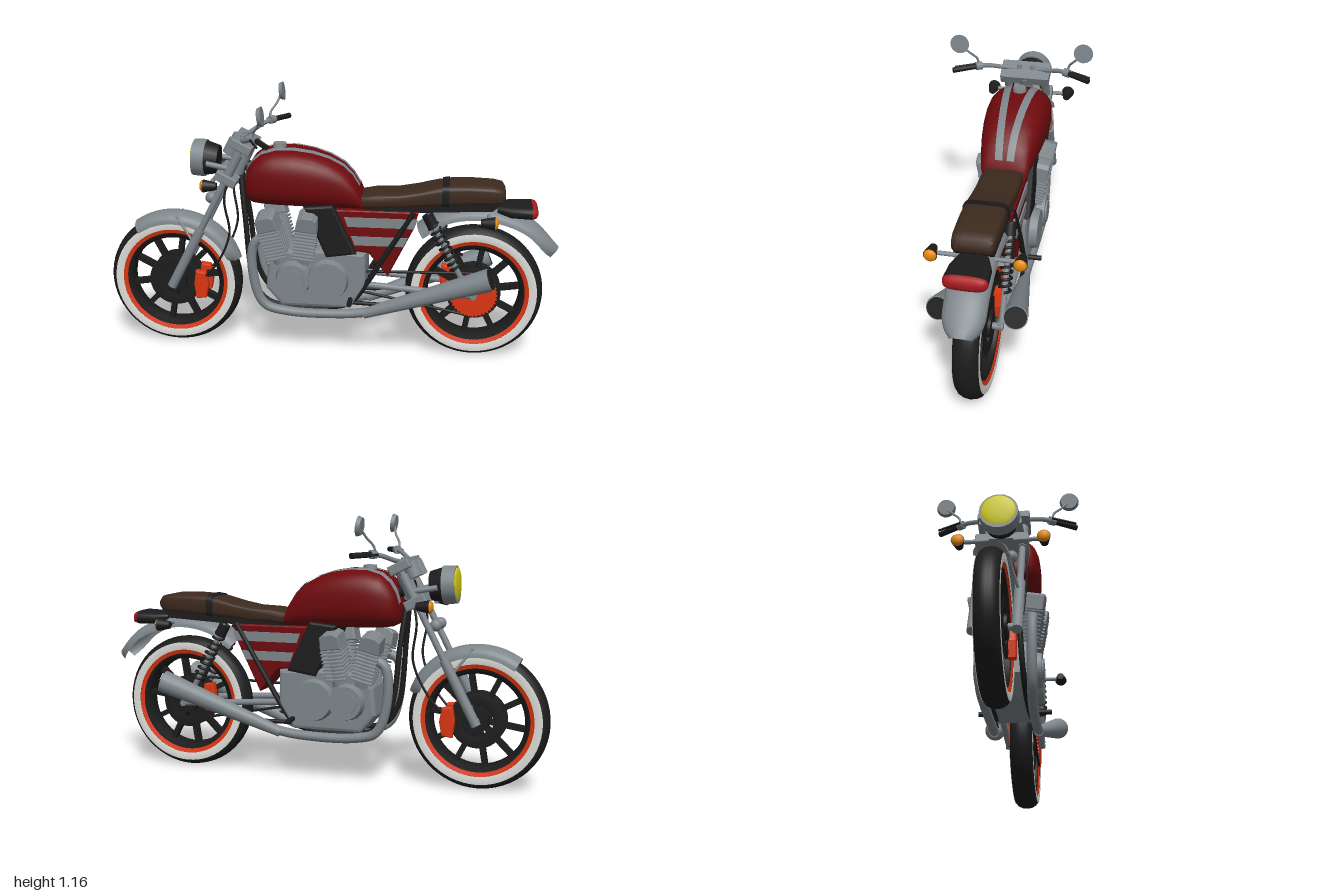
import * as THREE from 'three';
import { toCreasedNormals } from 'three/addons/utils/BufferGeometryUtils.js';

const mat = (name, color) => {
  const m = new THREE.MeshStandardMaterial({ color, side: THREE.DoubleSide });
  m.name = name;
  return m;
};
const V = (a) => new THREE.Vector3(...a);

export function createModel() {
  const RED = mat('dark red paint', 0x6e0a0d), METAL = mat('grey metal', 0x7e868b), BLACK = mat('black', 0x1c1c1c),
    BROWN = mat('brown leather', 0x3d2a1e), ORANGE = mat('orange red', 0xdb3510), WHITE = mat('white', 0xdcdcd8),
    YELLOW = mat('yellow lens', 0xd2cc14), AMBER = mat('amber lens', 0xe68a0c), LAMP = mat('red lens', 0xa81a1e);
  const root = new THREE.Group();
  root.name = 'motorcycle';

  // Helpers
  const add = (name, geo, m, pos = [0, 0, 0], parent = root) => {
    const o = new THREE.Mesh(geo, m);
    o.name = name;
    o.position.set(...pos);
    parent.add(o);
    return o;
  };
  const both = (f) => [1, -1].forEach(f);
  const rod = (name, a, b, r1, m, r2 = r1, parent = root) => {
    const p = V(a), q = V(b), d = q.clone().sub(p);
    const o = add(name, new THREE.CylinderGeometry(r2, r1, d.length(), 20), m, p.clone().add(q).multiplyScalar(0.5).toArray(), parent);
    o.quaternion.setFromUnitVectors(new THREE.Vector3(0, 1, 0), d.normalize());
    return o;
  };
  const tube = (name, pts, r, m, n = 40) =>
    add(name, new THREE.TubeGeometry(new THREE.CatmullRomCurve3(pts.map(V)), n, r, 10), m);
  const grid = (nu, nv, f) => {
    const p = [], idx = [];
    for (let i = 0; i <= nu; i++) for (let j = 0; j <= nv; j++) p.push(...f(i, j));
    for (let i = 0; i < nu; i++) for (let j = 0; j < nv; j++) {
      const a = i * (nv + 1) + j, b = a + nv + 1;
      idx.push(a, b, a + 1, b, b + 1, a + 1);
    }
    const g = new THREE.BufferGeometry();
    g.setAttribute('position', new THREE.Float32BufferAttribute(p, 3));
    g.setIndex(idx);
    return toCreasedNormals(g, 0.8);
  };
  // Rounded body through stations [x, bottom, top, half width]
  const loft = (st, e, n = 40) => {
    const a = st[0], z = st[st.length - 1];
    const close = (s) => [s[0], (s[1] + s[2]) / 2, (s[1] + s[2]) / 2, 0];
    const all = [close(a), ...st, close(z)];
    return grid(all.length - 1, n, (i, j) => {
      const [x, b, t, w] = all[i], q = (j / n) * Math.PI * 2, c = -Math.cos(q), s = Math.sin(q);
      return [x, (b + t) / 2 + ((t - b) / 2) * Math.sign(c) * Math.abs(c) ** (2 / e), w * Math.sign(s) * Math.abs(s) ** (2 / e)];
    });
  };
  const extrude = (pts, depth, bevel = 0) => {
    const g = new THREE.ExtrudeGeometry(new THREE.Shape(pts.map((p) => new THREE.Vector2(...p))),
      { depth: depth - 2 * bevel, bevelEnabled: bevel > 0, bevelSize: bevel, bevelThickness: bevel, bevelSegments: 2 });
    return g.translate(0, 0, -depth / 2 + bevel);
  };
  const lathe = (pts) => new THREE.LatheGeometry(pts.map((p) => new THREE.Vector2(...p)), 64).rotateX(Math.PI / 2);
  const disc = (r, h, n = 32) => new THREE.CylinderGeometry(r, r, h, n).rotateX(Math.PI / 2);

  // Wheels
  const wheel = (name, x, w) => {
    const g = new THREE.Group();
    g.name = name;
    g.position.set(x, 0.303, 0);
    root.add(g);
    const half = [[0.225, 0.8], [0.24, 0.93], [0.258, 1], [0.274, 0.96], [0.288, 0.75], [0.297, 0.4], [0.3, 0]];
    const side = half.map(([r, z]) => [r, z * w]);
    add('tyre', lathe([...side, ...side.slice(0, -1).reverse().map(([r, z]) => [r, -z])]), BLACK, [0, 0, 0], g);
    add('rimBarrel', lathe([[0.228, -0.8 * w], [0.2, -0.7 * w], [0.2, 0.7 * w], [0.228, 0.8 * w]]), BLACK, [0, 0, 0], g);
    both((s) => {
      add('whitewall', lathe([[0.24, s * (0.93 * w + 0.002)], [0.258, s * (w + 0.002)], [0.274, s * (0.96 * w + 0.002)]]), WHITE, [0, 0, 0], g);
      add('rimRing', lathe([[0.222, s * 0.83 * w], [0.24, s * (0.93 * w + 0.001)]]), ORANGE, [0, 0, 0], g);
      add('brakeDisc', lathe([[0.07, s * 0.036], [0.118, s * 0.036], [0.118, s * 0.041], [0.07, s * 0.041], [0.07, s * 0.036]]), BLACK, [0, 0, 0], g);
    });
    for (let i = 0; i < 10; i++) {
      const a = (i / 10) * Math.PI * 2 + 0.15;
      add('spoke', new THREE.BoxGeometry(0.17, 0.022, 0.035), BLACK, [Math.cos(a) * 0.12, Math.sin(a) * 0.12, 0], g).rotation.z = a;
    }
    add('hub', disc(0.05, 0.1), BLACK, [0, 0, 0], g);
    add('axle', disc(0.014, 0.19), METAL, [0, 0, 0], g);
    return g;
  };
  const front = wheel('frontWheel', -0.7, 0.048), rear = wheel('rearWheel', 0.635, 0.053);
  const caliper = [[-0.02, -0.06], [0.015, -0.055], [0.025, 0], [0.015, 0.055], [-0.02, 0.06], [-0.028, 0]];
  both((s) => add('frontCaliper', extrude(caliper, 0.035, 0.006), ORANGE, [0.125, -0.01, s * 0.052], front));
  add('rearCaliper', extrude(caliper, 0.035, 0.006), ORANGE, [-0.115, 0.03, -0.052], rear);

  // Sprocket with teeth, and chain
  const teeth = [];
  for (let i = 0; i < 72; i++) {
    const a = (i / 72) * Math.PI * 2, r = i % 2 ? 0.094 : 0.104;
    teeth.push([Math.cos(a) * r, Math.sin(a) * r]);
  }
  add('sprocket', extrude(teeth, 0.012), ORANGE, [0, 0, 0.064], rear);
  both((s) => rod('chain', [0.08, 0.35 + s * 0.04, 0.064], [0.63, 0.303 + s * 0.1, 0.064], 0.006, BLACK));

  // Mudguards swept along a path
  const guard = (name, pts, hw, drop) => {
    const c = new THREE.CatmullRomCurve3(pts.map(([x, y]) => new THREE.Vector3(x, y, 0)));
    add(name, grid(32, 16, (i, j) => {
      const u = i / 32, p = c.getPoint(u), t = c.getTangent(u), q = (j / 16 - 0.5) * Math.PI;
      const taper = u > 0.88 ? Math.sqrt(1 - ((u - 0.88) / 0.14) ** 2) : 1;
      const d = drop * (1 - Math.cos(q) ** 0.8);
      return [p.x + t.y * d, p.y - t.x * d, Math.sin(q) * hw * taper];
    }), METAL);
  };
  const arc = [];
  for (let a = 124; a >= 20; a -= 13) arc.push([-0.7 + 0.318 * Math.cos(a * Math.PI / 180), 0.305 + 0.318 * Math.sin(a * Math.PI / 180)]);
  guard('frontMudguard', arc, 0.064, 0.05);
  guard('rearMudguard', [[0.38, 0.6], [0.48, 0.67], [0.62, 0.7], [0.75, 0.685], [0.88, 0.63], [0.99, 0.52]], 0.085, 0.05);

  // Fork, one leg each side
  both((s) => {
    const z = s * 0.083;
    rod('forkLower', [-0.705, 0.29, z], [-0.565, 0.56, z], 0.021, METAL);
    rod('forkUpper', [-0.575, 0.54, z], [-0.365, 0.95, z], 0.014, METAL);
    rod('forkShroud', [-0.455, 0.775, z], [-0.385, 0.91, z], 0.02, METAL);
    rod('mudguardStay', [-0.6, 0.5, z], [-0.68, 0.61, s * 0.05], 0.006, METAL);
    tube('brakeHose', [[-0.4, 0.88, s * 0.06], [-0.45, 0.72, s * 0.1], [-0.435, 0.55, s * 0.09], [-0.5, 0.4, s * 0.075], [-0.57, 0.32, s * 0.06]], 0.005, BLACK);
    rod('headlightBracket', [-0.41, 0.84, z], [-0.53, 0.86, s * 0.075], 0.012, METAL);
  });
  [[-0.375, 0.945], [-0.445, 0.8]].forEach(([x, y]) =>
    add('forkClamp', extrude([[-0.04, -0.015], [0.045, -0.015], [0.045, 0.015], [-0.04, 0.015]], 0.22, 0.006), METAL, [x, y, 0]).rotation.z = -0.47);
  rod('steeringHead', [-0.43, 0.77, 0], [-0.35, 0.94, 0], 0.03, METAL);
  both((s) => rod('gauge', [-0.43, 0.9, s * 0.045], [-0.4, 0.96, s * 0.045], 0.034, METAL));
  add('horn', new THREE.SphereGeometry(0.026, 16, 12), METAL, [-0.52, 0.7, 0.045]);
  add('horn', new THREE.SphereGeometry(0.026, 16, 12), METAL, [-0.52, 0.7, -0.045]);

  // Headlight
  rod('headlightShell', [-0.56, 0.868, 0], [-0.49, 0.862, 0], 0.079, BLACK, 0.062);
  rod('headlightRing', [-0.6, 0.87, 0], [-0.545, 0.867, 0], 0.08, METAL, 0.082);
  const lens = add('headlightLens', new THREE.SphereGeometry(0.072, 32, 16), YELLOW, [-0.598, 0.87, 0]);
  lens.scale.x = 0.18;

  // Handlebar, grips, levers and mirrors
  const bar = [[-0.27, 1.0, 0.22], [-0.31, 0.995, 0.17], [-0.36, 0.97, 0.1], [-0.375, 0.965, 0.05]];
  tube('handlebar', [...bar, ...bar.map(([x, y, z]) => [x, y, -z]).reverse()], 0.01, METAL, 60);
  both((s) => {
    rod('handlebarClamp', [-0.375, 0.94, s * 0.03], [-0.375, 0.98, s * 0.03], 0.012, METAL);
    rod('grip', [-0.285, 1.0, s * 0.2], [-0.225, 0.998, s * 0.3], 0.012, BLACK);
    rod('lever', [-0.31, 1.0, s * 0.2], [-0.265, 0.995, s * 0.3], 0.005, BLACK);
    rod('switchBlock', [-0.295, 1.0, s * 0.185], [-0.28, 1.0, s * 0.21], 0.018, METAL);
    tube('mirrorStem', [[-0.295, 1.0, s * 0.2], [-0.295, 1.03, s * 0.205], [-0.27, 1.07, s * 0.235], [-0.258, 1.1, s * 0.262]], 0.005, METAL);
    rod('mirrorShell', [-0.262, 1.115, s * 0.272], [-0.245, 1.117, s * 0.272], 0.036, METAL, 0.042);
  });

  // Indicators on crossbars
  both((s) => [[-0.5, 0.79, -1], [0.685, 0.67, 1]].forEach(([x, y, d]) => {
    rod('indicatorStalk', [x, y, s * 0.05], [x, y, s * 0.16], 0.009, METAL);
    rod('indicatorShell', [x - d * 0.035, y, s * 0.175], [x + d * 0.022, y, s * 0.175], 0.016, BLACK, 0.028);
    add('indicatorLens', new THREE.SphereGeometry(0.026, 20, 14), AMBER, [x + d * 0.022, y, s * 0.175]).scale.x = 0.6;
  }));

  // Fuel tank with two converging stripes
  const tank = [[-0.362, 0.715, 0.79, 0.075], [-0.352, 0.695, 0.845, 0.105], [-0.33, 0.685, 0.885, 0.122], [-0.29, 0.68, 0.915, 0.134], [-0.23, 0.677, 0.93, 0.139],
    [-0.15, 0.675, 0.929, 0.139], [-0.07, 0.673, 0.916, 0.133], [0, 0.672, 0.893, 0.125], [0.06, 0.672, 0.86, 0.115],
    [0.1, 0.672, 0.82, 0.107], [0.13, 0.672, 0.77, 0.1], [0.148, 0.675, 0.72, 0.09]];
  add('fuelTank', loft(tank, 2.7, 64), RED);
  both((s) => add('tankStripe', grid(tank.length - 2, 6, (i, j) => {
    const [x, b, t, w] = tank[i], k = (x + 0.362) / 0.5;
    const z = Math.min(0.066 - 0.042 * k, w * 0.6) + (j / 6 - 0.5) * 0.032;
    return [x + (i < 2 ? -0.003 : 0.001), (b + t) / 2 + ((t - b) / 2) * (1 - (z / w) ** 2.7) ** (1 / 2.7) + 0.004, s * z];
  }), METAL));
  rod('fuelCap', [-0.22, 0.92, 0], [-0.22, 0.945, 0], 0.032, METAL, 0.028);

  // Seat and strap
  add('seat', loft([[0.13, 0.685, 0.715, 0.07], [0.14, 0.68, 0.737, 0.082], [0.2, 0.685, 0.748, 0.086], [0.3, 0.69, 0.752, 0.087], [0.38, 0.695, 0.767, 0.087], [0.46, 0.7, 0.788, 0.087],
    [0.52, 0.705, 0.798, 0.087], [0.6, 0.71, 0.802, 0.087], [0.7, 0.715, 0.798, 0.086], [0.738, 0.722, 0.79, 0.082], [0.752, 0.738, 0.77, 0.07]], 5), BROWN);
  add('seatStrap', loft([[0.485, 0.697, 0.797, 0.091], [0.515, 0.7, 0.802, 0.091]], 5), BLACK);
  add('seatBase', extrude([[0.15, 0.66], [0.7, 0.69], [0.74, 0.725], [0.15, 0.69]], 0.15), BLACK);

  // Tail light
  add('tailLightShell', loft([[0.72, 0.67, 0.71, 0.06], [0.78, 0.655, 0.712, 0.082], [0.865, 0.652, 0.715, 0.087]], 3), BLACK);
  add('tailLightLens', loft([[0.866, 0.652, 0.715, 0.087], [0.882, 0.656, 0.711, 0.082], [0.89, 0.668, 0.7, 0.068]], 3), LAMP);

  // Side covers and their stripes, air box
  add('sideCovers', extrude([[0.03, 0.67], [0.38, 0.67], [0.36, 0.6], [0.26, 0.39], [0.18, 0.49], [0.08, 0.5]], 0.17, 0.008), RED);
  both((s) => {
    add('sideStripe', extrude([[0.07, 0.645], [0.385, 0.645], [0.37, 0.603], [0.085, 0.603]], 0.006), METAL, [0, 0, s * 0.088]);
    add('sideStripe', extrude([[0.1, 0.56], [0.345, 0.56], [0.325, 0.52], [0.115, 0.52]], 0.006), METAL, [0, 0, s * 0.088]);
  });
  add('airBox', extrude([[-0.09, 0.68], [0.015, 0.69], [0.11, 0.49], [0, 0.475]], 0.22, 0.012), BLACK);

  // Frame tubes
  rod('backbone', [-0.37, 0.84, 0], [0.15, 0.68, 0], 0.025, BLACK);
  both((s) => {
    tube('frameCradle', [[-0.39, 0.8, s * 0.02], [-0.37, 0.62, s * 0.05], [-0.33, 0.32, s * 0.07], [-0.26, 0.235, s * 0.075], [0.08, 0.235, s * 0.08], [0.12, 0.27, s * 0.085], [0.25, 0.48, s * 0.09], [0.37, 0.68, s * 0.085]], 0.012, BLACK, 60);
    rod('swingarm', [0.12, 0.34, s * 0.08], [0.645, 0.303, s * 0.08], 0.014, METAL);
    rod('lowerStay', [0.1, 0.25, s * 0.085], [0.3, 0.25, s * 0.1], 0.009, BLACK);
    rod('footPeg', [0.1, 0.27, s * 0.09], [0.1, 0.27, s * 0.16], 0.011, BLACK);
    // Rear shock with coil spring
    const a = [0.425, 0.67, s * 0.085], b = [0.62, 0.31, s * 0.085], coil = [];
    rod('shockBody', a, b, 0.012, METAL);
    rod('shockTop', a, [0.45, 0.622, s * 0.085], 0.025, BLACK);
    const d = V(b).sub(V(a)).normalize(), n = new THREE.Vector3(-d.y, d.x, 0);
    for (let i = 0; i <= 90; i++) {
      const q = (i / 10) * Math.PI * 2;
      coil.push(V(a).addScaledVector(d, 0.05 + i * 0.0026).addScaledVector(n, Math.cos(q) * 0.023).add(new THREE.Vector3(0, 0, Math.sin(q) * 0.023)).toArray());
    }
    tube('shockSpring', coil, 0.006, BLACK, 180);
  });

  // Engine case and round covers
  add('crankcase', extrude([[-0.25, 0.42], [-0.22, 0.47], [0, 0.48], [0.15, 0.47], [0.15, 0.33], [0.09, 0.24], [-0.2, 0.24], [-0.26, 0.31]], 0.2, 0.015), METAL);
  both((s) => {
    rod('clutchCover', [0, 0.36, s * 0.08], [0, 0.36, s * 0.135], 0.098, METAL, 0.085);
    rod('generatorCover', [-0.15, 0.36, s * 0.08], [-0.15, 0.36, s * 0.14], 0.085, METAL, 0.072);
    rod('generatorCap', [-0.15, 0.36, s * 0.13], [-0.15, 0.36, s * 0.147], 0.05, METAL);
    // Two finned cylinders on each side
    [[-0.21, 0.26], [-0.11, -0.12]].forEach(([x, lean]) => {
      const g = new THREE.Group();
      g.name = 'cylinder';
      g.position.set(x, 0.43, s * 0.075);
      g.rotation.set(s * 0.18, 0, lean);
      root.add(g);
      rod('barrel', [0, 0, 0], [0, 0.18, 0], 0.036, METAL, 0.036, g);
      for (let i = 0; i < 9; i++) add('fin', new THREE.BoxGeometry(0.095, 0.007, 0.105), METAL, [0, 0.035 + i * 0.016, 0], g);
      add('cylinderHead', extrude([[-0.042, 0], [0.042, 0], [0.036, 0.05], [0.02, 0.06], [-0.02, 0.06], [-0.036, 0.05]], 0.1, 0.006), METAL, [0, 0.175, 0], g);
    });
    // Exhaust
    tube('exhaustPipe', [[-0.25, 0.56, s * 0.11], [-0.32, 0.52, s * 0.11], [-0.325, 0.35, s * 0.108], [-0.28, 0.235, s * 0.105], [-0.18, 0.203, s * 0.1], [0.08, 0.2, s * 0.096], [0.2, 0.218, s * 0.1]], 0.021, METAL, 60);
    rod('muffler', [0.16, 0.206, s * 0.098], [0.7, 0.412, s * 0.156], 0.023, METAL, 0.05);
    rod('mufflerEnd', [0.69, 0.408, s * 0.155], [0.704, 0.4135, s * 0.1565], 0.045, BLACK);
  });
  return root;
}
